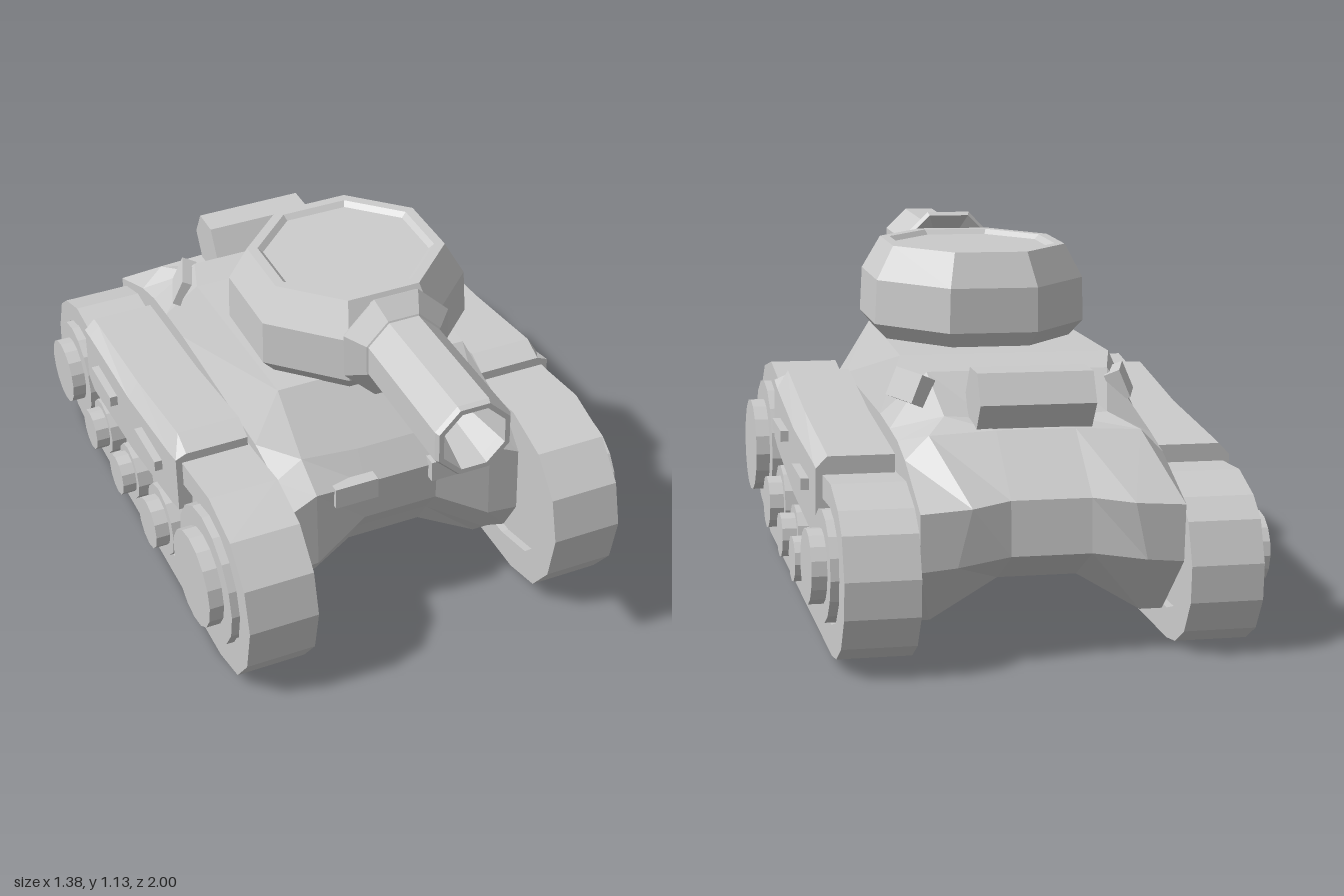
import * as THREE from 'three';

const material = new THREE.MeshStandardMaterial({ color: 0xcccccc, flatShading: true, side: THREE.DoubleSide });

function add(parent, name, geometry, x = 0, y = 0, z = 0) {
  const mesh = new THREE.Mesh(geometry, material);
  mesh.name = name;
  mesh.position.set(x, y, z);
  parent.add(mesh);
  return mesh;
}

// Skin between closed rings of [x, y, z] points, with fan caps at both ends
function loft(rings) {
  const n = rings[0].length, pos = rings.flat(2), index = [];
  for (let r = 0; r < rings.length - 1; r++) {
    for (let i = 0; i < n; i++) {
      const a = r * n + i, b = r * n + (i + 1) % n;
      index.push(a, a + n, b, b, a + n, b + n);
    }
  }
  [0, rings.length - 1].forEach((r, end) => {
    const c = pos.length / 3;
    for (let k = 0; k < 3; k++) pos.push(rings[r].reduce((s, p) => s + p[k], 0) / n);
    for (let i = 0; i < n; i++) {
      const a = r * n + i, b = r * n + (i + 1) % n;
      index.push(c, end ? b : a, end ? a : b);
    }
  });
  const g = new THREE.BufferGeometry();
  g.setAttribute('position', new THREE.Float32BufferAttribute(pos, 3));
  g.setIndex(index);
  g.computeVertexNormals();
  return g;
}

const mirrorRings = (rings) => rings.map((r) => r.map(([x, y, z]) => [-x, y, z]).reverse());

// Side outline of [z, y] points extruded across x, centred on x = 0
function slab(outline, width, hole) {
  const toPoints = (list) => list.map(([z, y]) => new THREE.Vector2(z, y));
  const shape = new THREE.Shape(toPoints(outline));
  if (hole) shape.holes.push(new THREE.Path(toPoints(hole)));
  const g = new THREE.ExtrudeGeometry(shape, { depth: width, bevelEnabled: false });
  return g.translate(0, 0, -width / 2).rotateY(-Math.PI / 2);
}

// Octagonal lathe with a flat facing each axis; radii are given across the flats
function octagon(profile) {
  const k = 1 / Math.cos(Math.PI / 8);
  const pts = profile.map(([r, y]) => new THREE.Vector2(r * k, y));
  return new THREE.LatheGeometry(pts, 8).rotateY(Math.PI / 8);
}

function addHull(tank) {
  // Half of the hull as side profiles: chin, nose, roof, rear deck, tail
  const inner = [[.12, .21, .42], [.12, .30, .48], [.12, .39, .55], [.12, .53, .56], [.12, .62, .50],
    [.12, .79, .34], [.12, .79, -.30], [.12, .77, -.46], [.12, .65, -.58], [.12, .64, -.70],
    [.12, .48, -.90], [.12, .32, -.92], [.12, .21, -.75]];
  const middle = [[.32, .09, .42], [.31, .17, .50], [.29, .29, .58], [.29, .55, .58], [.30, .63, .49],
    [.31, .79, .34], [.33, .79, -.30], [.28, .77, -.46], [.25, .66, -.58], [.32, .63, -.70],
    [.24, .47, -.94], [.28, .30, -.94], [.32, .09, -.75]];
  const outer = [[.39, .09, .42], [.39, .15, .50], [.39, .28, .58], [.39, .50, .58], [.39, .58, .50],
    [.39, .61, .34], [.39, .61, -.30], [.39, .60, -.46], [.39, .59, -.58], [.39, .56, -.70],
    [.39, .46, -.94], [.39, .29, -.94], [.39, .09, -.75]];
  const flip = (col) => col.map(([x, y, z]) => [-x, y, z]);
  add(tank, 'hull', loft([flip(outer), flip(middle), flip(inner), inner, middle, outer]));

  // Small nose blocks and angled side hatches
  for (const s of [-1, 1]) {
    add(tank, 'noseBlock', new THREE.BoxGeometry(.14, .07, .05), s * .16, .52, .56);
    const hatch = add(tank, 'sideHatch', new THREE.BoxGeometry(.05, .09, .15), s * .325, .72, -.44);
    hatch.rotation.set(0, s * .35, s * .42);
  }

  // Hexagonal drum on the rear deck
  add(tank, 'rearDrum', new THREE.CylinderGeometry(.1, .1, .35, 6).rotateZ(Math.PI / 2), 0, .72, -.63);
}

function addTracks(tank) {
  const outline = [[.83, .32], [.80, .46], [.70, .57], [.53, .615], [.35, .59], [-.60, .50], [-.75, .51],
    [-.88, .465], [-.95, .41], [-1, .29], [-1, .18], [-.95, .08], [-.87, .025], [-.79, .01],
    [.55, .01], [.70, .05], [.79, .16]];
  const opening = [[.75, .32], [.72, .43], [.65, .51], [.53, .54], [.30, .50], [-.60, .43], [-.75, .44],
    [-.85, .40], [-.91, .30], [-.91, .20], [-.86, .13], [-.78, .10], [.48, .10], [.64, .14], [.73, .23]];
  // Wheels: z, y, disc radius, hub radius
  const wheels = [[.53, .33, .22, .155], [.115, .235, .12, .085], [-.195, .21, .095, .07],
    [-.465, .21, .095, .07], [-.75, .27, .165, .11]];
  // Skirt sections: z, bottom, outer edge, top
  const skirt = [[.30, .41, .60, .615], [.23, .39, .585, .645], [-.15, .33, .535, .59],
    [-.55, .305, .525, .56], [-.60, .33, .52, .555]].map(([z, bottom, edge, top]) =>
    [[.40, bottom, z], [.635, bottom, z], [.635, edge, z], [.60, top, z], [.40, top, z]]);

  for (const s of [-1, 1]) {
    const side = new THREE.Group();
    side.name = s > 0 ? 'leftTrack' : 'rightTrack';
    tank.add(side);
    add(side, 'trackBand', slab(outline, .22, opening), s * .505);
    add(side, 'trackPanel', slab(opening, .17), s * .505);
    add(side, 'skirt', loft(s > 0 ? skirt : mirrorRings(skirt)));
    for (const [z, y] of [[.065, .485], [-.375, .44]]) {
      add(side, 'skirtHandle', new THREE.BoxGeometry(.05, .035, .19), s * .635, y, z);
    }
    for (const [z, y, disc, hub] of wheels) {
      const sides = disc > .15 ? 16 : 12;
      add(side, 'wheel', new THREE.CylinderGeometry(disc, disc, .08, sides).rotateZ(Math.PI / 2), s * .60, y, z);
      add(side, 'wheelHub', new THREE.CylinderGeometry(hub, hub, .08, sides).rotateZ(Math.PI / 2), s * .645, y, z);
    }
  }
}

function addTurret(tank) {
  const turret = new THREE.Group();
  turret.name = 'turret';
  turret.position.x = .02;
  tank.add(turret);

  // Octagonal turret with a sunken roof panel
  add(turret, 'turretBody', octagon([[0, .785], [.295, .785], [.34, .84], [.335, .98], [.28, 1.085],
    [.25, 1.085], [.235, 1.07], [0, 1.07]]), 0, 0, .11);

  // Gun parts run along +z
  const gun = (name, profile) => add(turret, name, octagon(profile).rotateX(Math.PI / 2), 0, .958, 0);
  gun('gunNeck', [[0, .34], [.11, .34], [.11, .41], [.06, .48], [.06, .54]]);
  gun('gunCollar', [[.06, .50], [.10, .51], [.16, .462], [.17, .478], [.12, .53], [.10, .54]]);
  gun('barrel', [[0, .52], [.115, .52], [.117, .985], [.11, 1], [.095, 1], [.09, .97], [.018, .60], [0, .60]]);
}

export function createModel() {
  const model = new THREE.Group();
  model.name = 'tank';
  const tank = new THREE.Group();
  tank.name = 'tankBody';
  tank.rotation.z = .02; // slight lean to one side
  model.add(tank);
  addHull(tank);
  addTracks(tank);
  addTurret(tank);
  return model;
}
